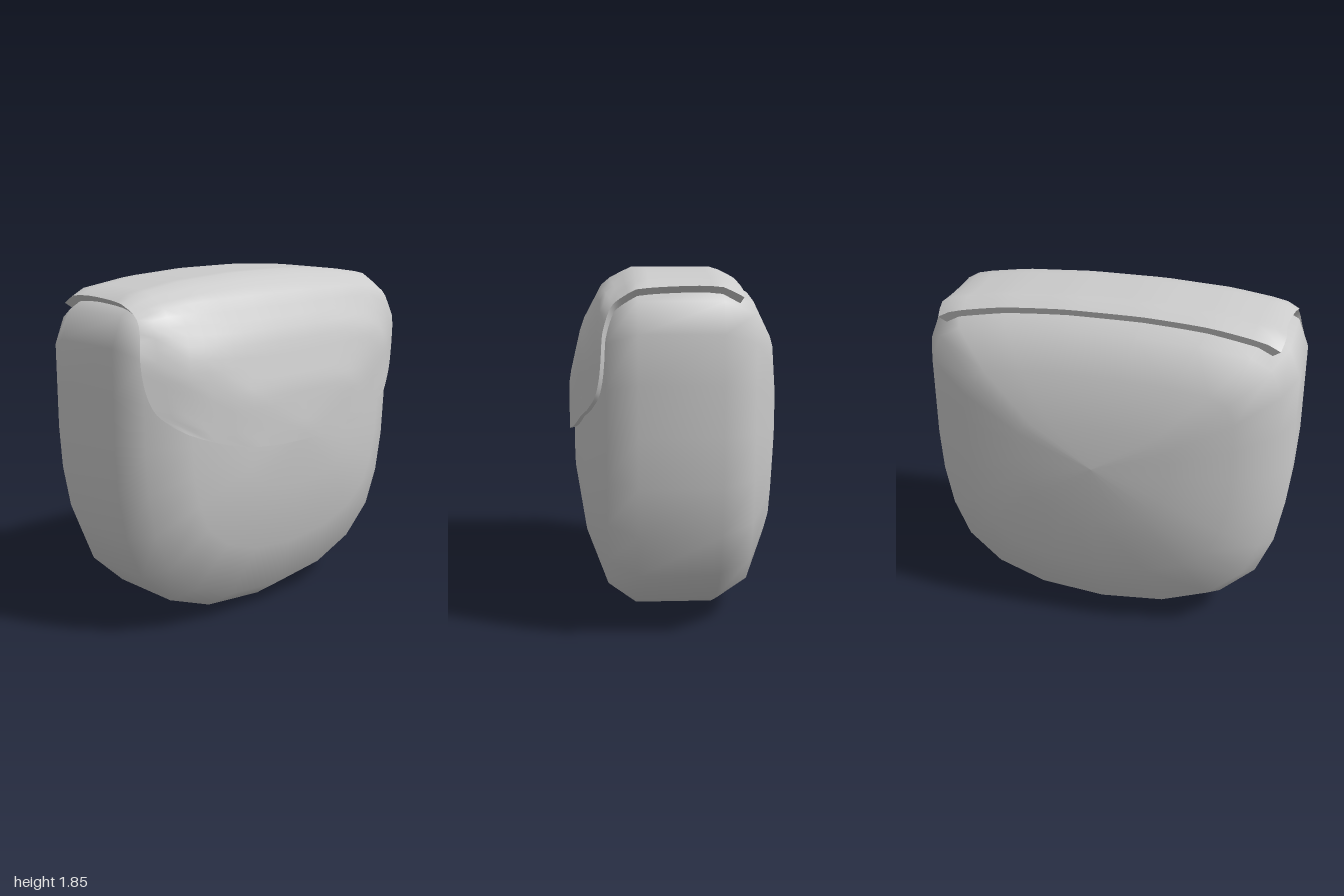
import * as THREE from 'three';
import { toCreasedNormals } from 'three/addons/utils/BufferGeometryUtils.js';

const MID = 1.05; // height of the pouch's centre

// Half outline of the pouch seen from the side: z, y
const half = [[0, 0], [0.38, 0.04], [0.66, 0.15], [0.85, 0.33], [0.94, 0.55], [0.985, 0.8], [1, 1.05],
  [1, 1.3], [1, 1.54], [0.94, 1.69], [0.82, 1.755], [0.55, 1.795], [0.2, 1.815]];
const outline = [...half, ...half.slice(1).reverse().map(([z, y]) => [-z, y])].map(([z, y]) => [z, y - MID]);

// Pillow profile across the width: x, scale in z, scale in y
const profile = [[-0.56, 0, 0], [-0.54, 0.4, 0.3], [-0.48, 0.72, 0.64], [-0.37, 0.93, 0.9], [-0.21, 1, 1],
  [0.2, 1, 1], [0.35, 0.93, 0.9], [0.46, 0.72, 0.63], [0.52, 0.4, 0.3], [0.535, 0, 0]];

// Surface from rows of points
function grid(rows, closed) {
  const n = rows[0].length, index = [];
  for (let i = 0; i < rows.length - 1; i++) {
    for (let j = 0; j < (closed ? n : n - 1); j++) {
      const k = (j + 1) % n;
      const a = i * n + j, b = a + n, c = (i + 1) * n + k, d = i * n + k;
      index.push(a, b, c, a, c, d);
    }
  }
  const geo = new THREE.BufferGeometry().setFromPoints(rows.flat());
  geo.setIndex(index);
  geo.computeVertexNormals();
  return geo;
}

// True when a point (relative to the centre) lies within the pouch
function inside(p) {
  const i = profile.findIndex(([x], k) => k > 0 && p.x <= x);
  if (i < 1 || p.x < profile[0][0]) return false;
  const [a, b] = [profile[i - 1], profile[i]];
  const t = (p.x - a[0]) / (b[0] - a[0]);
  const z = p.z / Math.max(1e-5, THREE.MathUtils.lerp(a[1], b[1], t));
  const y = p.y / Math.max(1e-5, THREE.MathUtils.lerp(a[2], b[2], t));
  return outline.every(([z0, y0], k) => {
    const [z1, y1] = outline[(k + 1) % outline.length];
    return (z1 - z0) * (y - y0) - (y1 - y0) * (z - z0) >= 0;
  });
}

// Slide a point along its ray from the centre onto the pouch, then lift it by a factor
function drape(x, y, z, lift) {
  const dir = new THREE.Vector3(x, y - MID, z);
  let lo = 0.3, hi = 2;
  for (let k = 0; k < 24; k++) {
    const m = (lo + hi) / 2;
    if (inside(dir.clone().multiplyScalar(m))) lo = m; else hi = m;
  }
  dir.multiplyScalar(lo * lift);
  dir.y += MID;
  return dir;
}

function createBody() {
  return grid(profile.map(([x, sz, sy]) =>
    outline.map(([z, y]) => new THREE.Vector3(x, MID + y * sy, z * sz))), true);
}

// Flap: a middle path and an end path over the top and down the left side
function createFlap() {
  const curve = (pts) => new THREE.CatmullRomCurve3(pts.map((p) => new THREE.Vector3(...p)));
  const middle = curve([[-0.29, 1.8, 0], [-0.15, 1.85, 0], [0.02, 1.86, 0], [0.2, 1.83, 0], [0.38, 1.75, 0],
    [0.48, 1.59, 0], [0.53, 1.4, 0], [0.55, 1.25, 0], [0.56, 1.1, 0], [0.56, 0.985, 0]]);
  const end = curve([[-0.3, 1.69, 0.88], [-0.15, 1.745, 0.89], [0.02, 1.75, 0.9], [0.2, 1.73, 0.915],
    [0.31, 1.68, 0.93], [0.35, 1.58, 0.94], [0.365, 1.42, 0.94], [0.375, 1.31, 0.915],
    [0.395, 1.23, 0.88], [0.43, 1.16, 0.8]]);
  const NU = 27, NV = 24, rows = [];
  // The first and last row and column repeat the border, tucked in to form the rim
  for (let i = -1; i <= NU + 1; i++) {
    const u = THREE.MathUtils.clamp(i / NU, 0, 1), row = [];
    const m = middle.getPoint(u), e = end.getPoint(u);
    for (let j = -1; j <= NV + 1; j++) {
      const s = THREE.MathUtils.clamp(1 - 2 * j / NV, -1, 1);
      const w = Math.abs(s) ** 2.8;
      const rim = i < 0 || i > NU || j < 0 || j > NV;
      row.push(drape(m.x + (e.x - m.x) * w, m.y + (e.y - m.y) * w, e.z * s, rim ? 0.99 : 1.047));
    }
    rows.push(row);
  }
  return toCreasedNormals(grid(rows, false), 0.8);
}

export function createModel() {
  const group = new THREE.Group();
  group.name = 'pouch';
  const material = new THREE.MeshStandardMaterial({ color: 0xcccccc, side: THREE.DoubleSide });
  const add = (name, geometry) => {
    const mesh = new THREE.Mesh(geometry, material);
    mesh.name = name;
    group.add(mesh);
  };
  add('body', createBody());
  add('flap', createFlap());
  return group;
}
